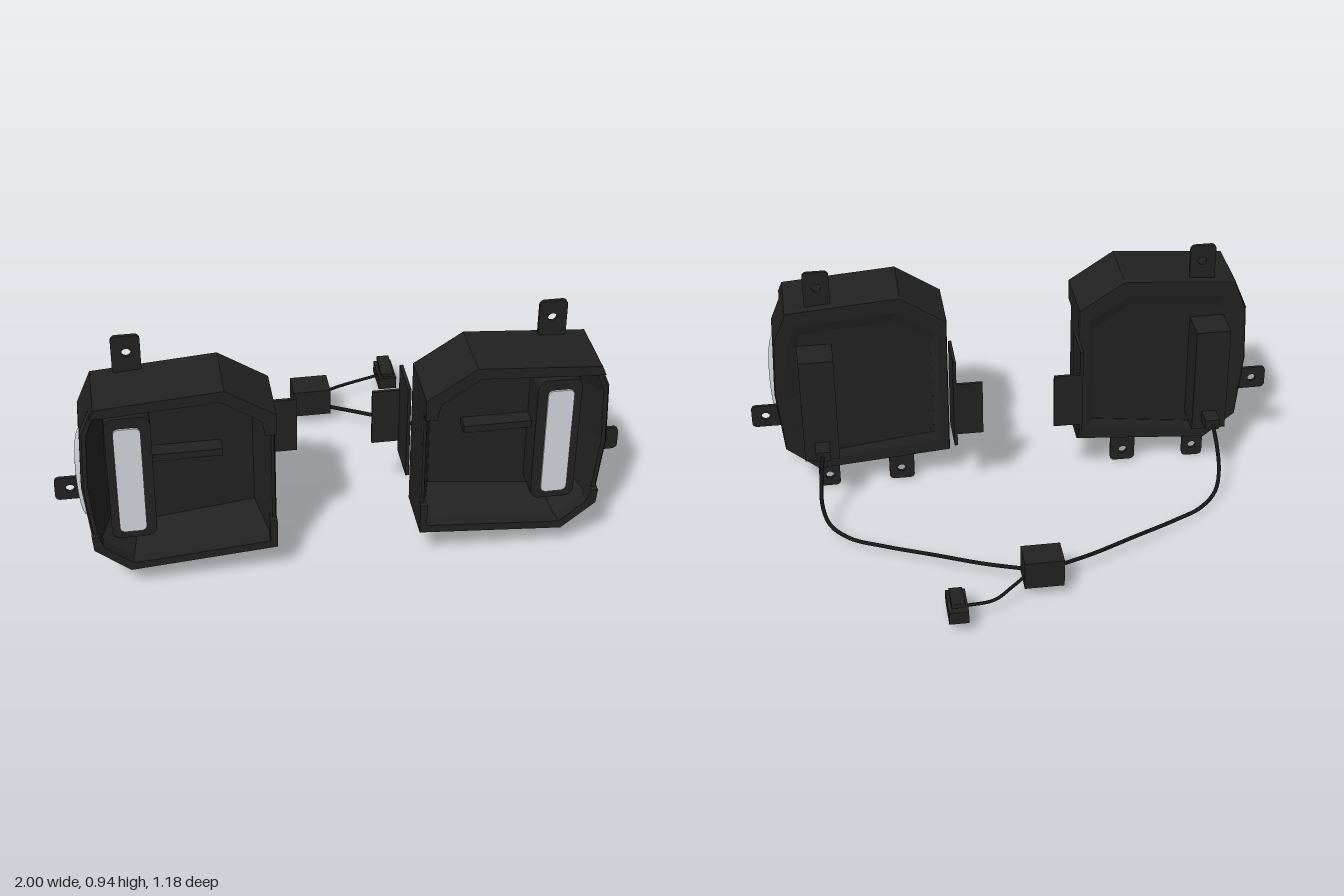
import * as THREE from 'three';

const mat = (name, color) => {
  const m = new THREE.MeshStandardMaterial({ color });
  m.name = name;
  return m;
};

export function createModel() {
  const black = mat('black plastic', 0x222222);
  const cable = mat('cable black', 0x161616);
  const clear = mat('clear lens', 0xd0d4dc);
  const root = new THREE.Group();
  root.name = 'lampPair';

  const add = (parent, name, geo, m = black) => {
    const mesh = new THREE.Mesh(geo, m);
    mesh.name = name;
    parent.add(mesh);
    return mesh;
  };
  // box from its minimum and maximum corners
  const box = (parent, name, a, b, m) => add(parent, name,
    new THREE.BoxGeometry(b[0] - a[0], b[1] - a[1], b[2] - a[2])
      .translate((a[0] + b[0]) / 2, (a[1] + b[1]) / 2, (a[2] + b[2]) / 2), m);
  const slab = (shape, z0, z1) => new THREE.ExtrudeGeometry(shape,
    { depth: z1 - z0, bevelEnabled: false, curveSegments: 6 }).translate(0, 0, z0);
  const poly = pts => new THREE.Shape(pts.map(p => new THREE.Vector2(...p)));
  const rounded = (x0, y0, x1, y1, r) => {
    const s = new THREE.Shape();
    s.absarc(x1 - r, y1 - r, r, 0, Math.PI / 2);
    s.absarc(x0 + r, y1 - r, r, Math.PI / 2, Math.PI);
    s.absarc(x0 + r, y0 + r, r, Math.PI, Math.PI * 1.5);
    s.absarc(x1 - r, y0 + r, r, Math.PI * 1.5, Math.PI * 2);
    s.closePath();
    return s;
  };

  // frame outlines: outer silhouette and the edge of the recessed floor
  const outer = [[.25, .14], [.76, .10], [.88, .20], [.905, .45], [.895, .68], [.845, .80], [.42, .832], [.25, .72]];
  const inner = [[.31, .225], [.72, .175], [.80, .25], [.82, .45], [.815, .62], [.79, .70], [.45, .725], [.31, .63]];
  // closed ring; each section step is [blend from outer to inner, z]
  const ring = section => {
    const pos = [], n = outer.length, m = section.length;
    const at = (i, j) => {
      const [t, z] = section[j % m], o = outer[i % n], q = inner[i % n];
      return [o[0] + (q[0] - o[0]) * t, o[1] + (q[1] - o[1]) * t, z];
    };
    for (let j = 0; j < m; j++) for (let i = 0; i < n; i++) {
      const a = at(i, j), b = at(i + 1, j), c = at(i + 1, j + 1), d = at(i, j + 1);
      pos.push(...a, ...b, ...c, ...a, ...c, ...d);
    }
    const g = new THREE.BufferGeometry();
    g.setAttribute('position', new THREE.Float32BufferAttribute(pos, 3));
    g.computeVertexNormals();
    return g;
  };

  const tab = (parent, name, x0, y0, x1, y1, hx, hy) => {
    const s = rounded(x0, y0, x1, y1, .018);
    s.holes.push(new THREE.Path().absarc(hx, hy, .016, 0, Math.PI * 2, true));
    add(parent, name, slab(s, .376, .389));
  };

  const wire = (name, pts, r) => add(root, name, new THREE.TubeGeometry(
    new THREE.CatmullRomCurve3(pts.map(p => new THREE.Vector3(...p))), 48, r, 8), cable);

  const buildLamp = () => {
    const g = new THREE.Group();
    // housing
    add(g, 'housingFrame', ring([[0, .358], [0, .53], [.08, .54], [.25, .54], [1, .385], [1, .36], [.6, .35], [.05, .35]]));
    add(g, 'housingFloor', slab(poly(inner), .362, .384));
    add(g, 'brow', slab(poly([[.25, .64], [.29, .64], [.30, .70], [.435, .79], [.82, .765],
      [.86, .765], [.845, .80], [.42, .832], [.25, .72]]), .52, .59));
    add(g, 'lowerLip', slab(poly([[.25, .14], [.76, .10], [.88, .20], [.885, .255], [.86, .255],
      [.845, .21], [.75, .13], [.275, .168], [.275, .255], [.25, .255]]), .52, .56));
    // front light strip in its raised bezel
    add(g, 'lightBezel', slab(rounded(.66, .19, .815, .69, .035), .38, .492));
    add(g, 'lightStrip', slab(rounded(.695, .22, .787, .65, .02), .49, .499), clear);
    box(g, 'floorRidge', [.42, .465, .38], [.67, .493, .44]);
    // outer side marker
    const marker = add(g, 'sideMarker', new THREE.SphereGeometry(1, 16, 16), clear);
    marker.scale.set(.025, .183, .017);
    marker.position.set(.895, .465, .46);
    // rear electronics and socket
    box(g, 'rearBox', [.68, .22, .235], [.81, .65, .37]);
    box(g, 'rearSocket', [.715, .26, .165], [.77, .30, .24]);
    // inner bracket
    box(g, 'bracketPlate', [.233, .25, .215], [.245, .62, .37]);
    box(g, 'bracketFlange', [.135, .30, .215], [.24, .52, .227]);
    // mounting tabs
    tab(g, 'topTab', .673, .80, .77, .945, .72, .88);
    tab(g, 'sideTab', .88, .30, .998, .39, .945, .345);
    tab(g, 'bottomOuterTab', .68, .002, .762, .12, .72, .05);
    tab(g, 'bottomInnerTab', .39, .008, .487, .13, .44, .055);
    return g;
  };

  for (const side of [1, -1]) {
    const lamp = buildLamp();
    lamp.name = side > 0 ? 'leftLamp' : 'rightLamp';
    lamp.scale.x = side;
    root.add(lamp);
    wire(side > 0 ? 'leftCable' : 'rightCable', [[.745, .28, .17], [.757, .20, .13], [.76, .11, .09],
      [.738, .055, .045], [.67, .033, -.02], [.55, .043, -.10], [.37, .058, -.20], [.20, .064, -.285], [.06, .072, -.345]]
      .map(([x, y, z]) => [x * side, y, z]), .0075);
  }

  // junction box, plug and its lead
  box(root, 'junctionBox', [-.072, .05, -.433], [.072, .16, -.325]);
  wire('plugLead', [[.06, .097, -.41], [.12, .083, -.455], [.19, .068, -.50], [.30, .075, -.525]], .006);
  box(root, 'plugBody', [.29, .05, -.59], [.36, .10, -.46]);
  const latch = box(root, 'plugLatch', [-.024, -.008, -.056], [.024, .008, .056]);
  latch.position.set(.325, .114, -.525);
  latch.rotation.x = .13;
  box(root, 'latchPivot', [.308, .09, -.535], [.342, .115, -.505]);
  return root;
}
